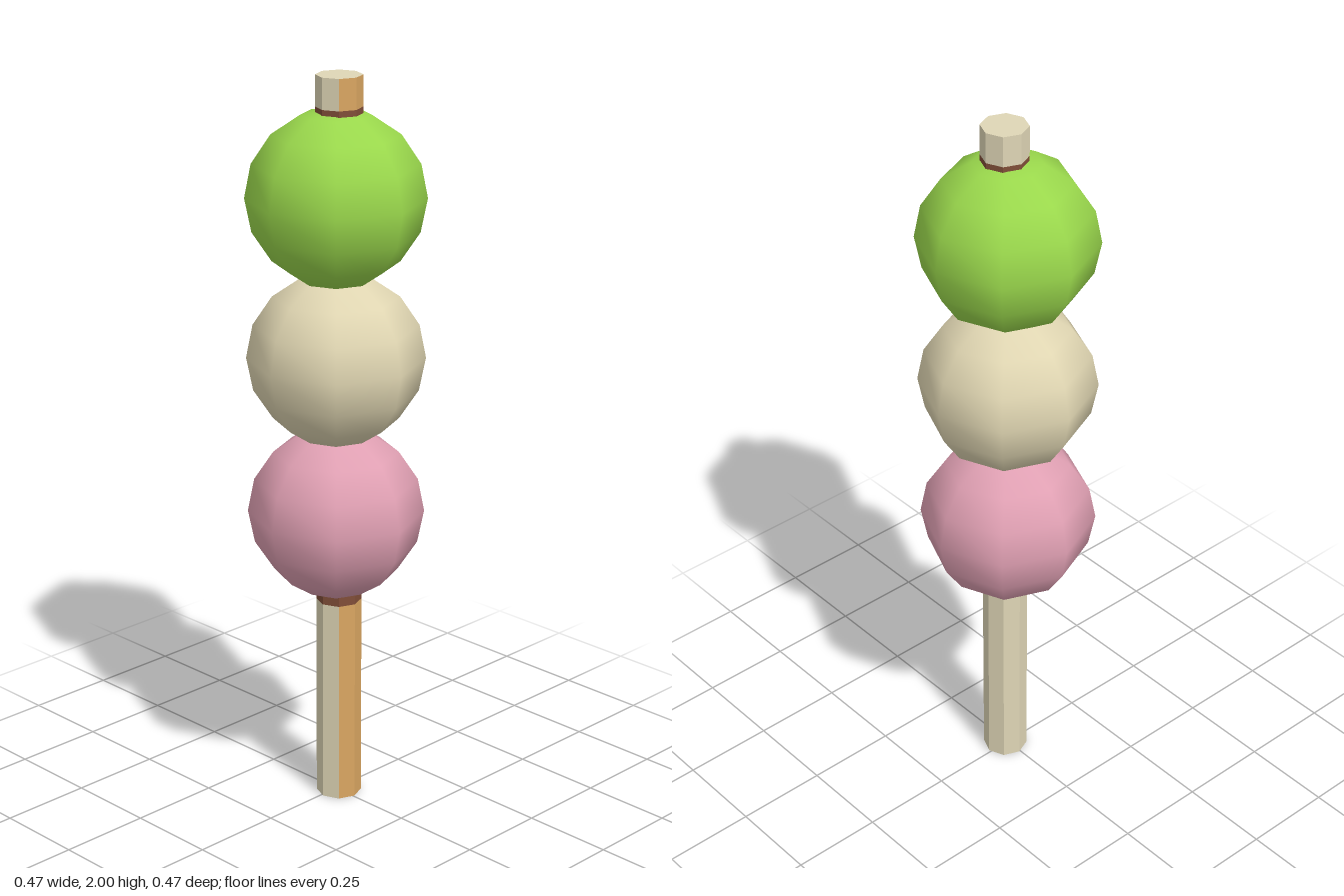
import * as THREE from 'three';

const mat = (name, color) => {
  const m = new THREE.MeshStandardMaterial({ color });
  m.name = name;
  return m;
};

export function createModel() {
  const group = new THREE.Group();
  group.name = 'dumplingSkewer';

  const green = mat('green', 0x9ad84c);
  const cream = mat('cream', 0xe0d6b2);
  const pink = mat('pink', 0xe0a0b3);
  const paleWood = mat('paleWood', 0xdfd6b6);
  const tanWood = mat('tanWood', 0xdaa662);
  const brown = mat('brown', 0x804e38);

  // One length of the eight-sided stick: two tan faces on the +x side, the rest pale
  function stickPart(name, y0, y1, materials) {
    const cyl = new THREE.CylinderGeometry(0.061, 0.061, y1 - y0, 8, 1);
    cyl.clearGroups();
    for (let k = 0; k < 8; k++) cyl.addGroup(k * 6, 6, k === 1 || k === 2 ? 1 : 0);
    cyl.addGroup(48, 24, 0); // top end
    cyl.addGroup(72, 24, 1); // bottom end
    const geo = cyl.toNonIndexed();
    geo.computeVertexNormals();
    const mesh = new THREE.Mesh(geo, materials);
    mesh.name = name;
    mesh.position.set(0.007, (y0 + y1) / 2, -0.004);
    group.add(mesh);
  }
  stickPart('stickHandle', 0, 0.573, [paleWood, tanWood]);
  stickPart('stickCore', 0.573, 1.918, [brown, brown]);
  stickPart('stickTip', 1.918, 2, [paleWood, tanWood]);

  // Three round dumplings, bottom to top
  [['pinkDumpling', pink], ['creamDumpling', cream], ['greenDumpling', green]].forEach(([name, m], i) => {
    const ball = new THREE.Mesh(new THREE.SphereGeometry(0.235, 8, 8), m);
    ball.name = name;
    ball.position.y = 0.826 + i * 0.427;
    group.add(ball);
  });

  return group;
}
